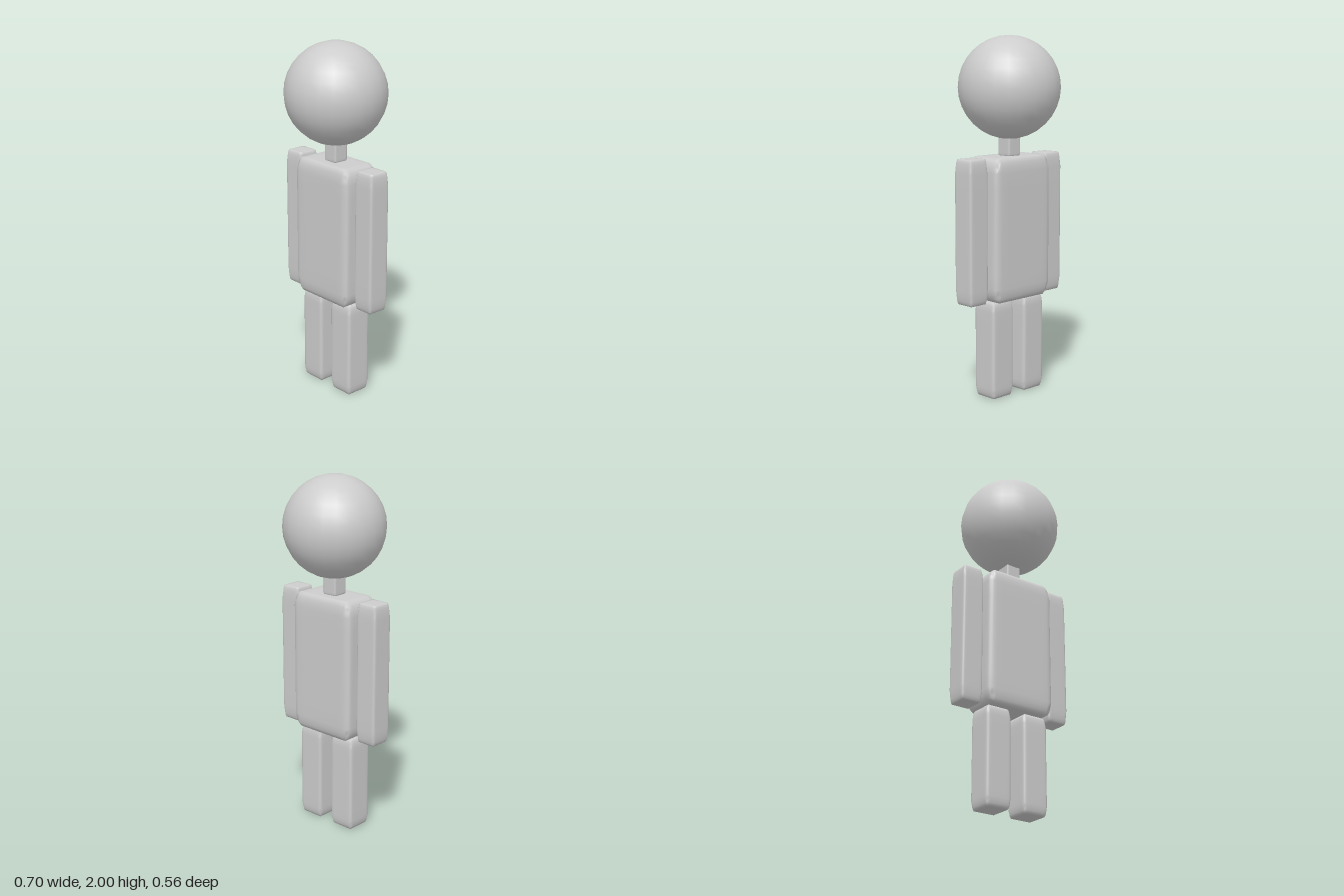
import * as THREE from 'three';
import { mergeVertices } from 'three/addons/utils/BufferGeometryUtils.js';

const BEVEL = 0.2; // bevel reach as a fraction of each side

// Unit cube with softened edges, stretched to size, so the bevel stretches with it
function softBox(w, h, d) {
  const half = [0, BEVEL / 4, BEVEL / 2, BEVEL]; // ring distances from the edge
  const rings = [...half.map((a) => a - 0.5), ...half.map((a) => 0.5 - a).reverse()];
  const n = rings.length - 1;
  const box = new THREE.BoxGeometry(1, 1, 1, n, n, n);
  box.deleteAttribute('uv');
  box.deleteAttribute('normal');
  const geo = mergeVertices(box, 1e-4);
  const pos = geo.attributes.position;
  const size = [w, h, d];
  for (let i = 0; i < pos.count; i++) {
    const p = [pos.getX(i), pos.getY(i), pos.getZ(i)].map((v) => rings[Math.round((v + 0.5) * n)]);
    // pull is 1 at a face and fades to 0 inside the bevel
    const pull = p.map((v) => Math.pow(Math.max(0, 1 - (2 * (0.5 - Math.abs(v))) / BEVEL), 1.3));
    const total = pull[0] + pull[1] + pull[2];
    const q = p.map((v, k) => (v - Math.sign(v) * 0.156 * BEVEL * pull[k] * (total - pull[k])) * size[k]);
    pos.setXYZ(i, ...q);
  }
  geo.computeVertexNormals();
  return geo;
}

export function createModel() {
  const model = new THREE.Group();
  model.name = 'figure';
  const grey = new THREE.MeshStandardMaterial({ color: 0xcccccc });
  grey.name = 'light grey';

  const add = (name, geometry, x, y) => {
    const mesh = new THREE.Mesh(geometry, grey);
    mesh.name = name;
    mesh.position.set(x, y, 0);
    model.add(mesh);
  };

  // Head, neck and torso
  add('head', new THREE.SphereGeometry(0.282, 24, 16), 0, 1.718);
  add('neck', softBox(0.09, 0.12, 0.09), 0, 1.4);
  add('torso', softBox(0.42, 0.795, 0.24), 0, 0.9475);

  // Mirrored arms and legs
  const arm = softBox(0.13, 0.795, 0.132);
  const leg = softBox(0.155, 0.55, 0.155);
  for (const [side, s] of [['left', 1], ['right', -1]]) {
    add(side + 'Arm', arm, s * 0.284, 0.9475);
    add(side + 'Leg', leg, s * 0.118, 0.275);
  }
  return model;
}
